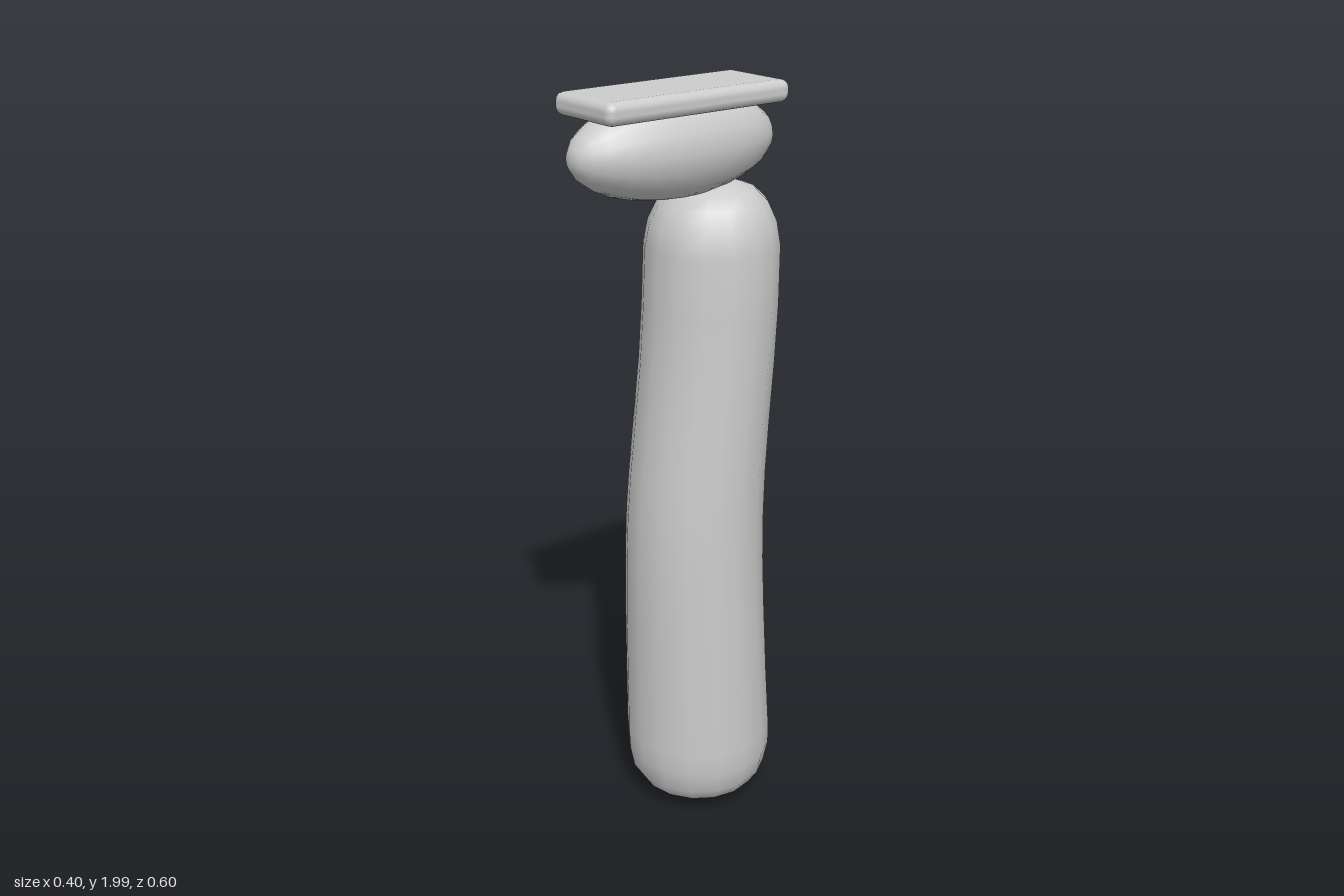
import * as THREE from 'three';
import { RoundedBoxGeometry } from 'three/addons/geometries/RoundedBoxGeometry.js';

// Closed, smooth skin over circular rings [y, radius, centre x, centre z], bottom to top
function loft(rings, sides) {
  const pos = [], idx = [];
  for (const [y, r, cx, cz] of rings) {
    for (let i = 0; i < sides; i++) {
      const a = (i / sides) * Math.PI * 2;
      pos.push(cx + r * Math.sin(a), y, cz + r * Math.cos(a));
    }
  }
  for (let j = 0; j < rings.length - 1; j++) {
    for (let i = 0; i < sides; i++) {
      const k = (i + 1) % sides;
      const a = j * sides + i, b = j * sides + k, c = a + sides, d = b + sides;
      idx.push(a, b, d, a, d, c);
    }
  }
  // end caps
  const [first, last] = [rings[0], rings[rings.length - 1]];
  const bottom = pos.length / 3, top = bottom + 1, t = (rings.length - 1) * sides;
  pos.push(first[2], first[0] - 0.004, first[3], last[2], last[0] + 0.004, last[3]);
  for (let i = 0; i < sides; i++) {
    const k = (i + 1) % sides;
    idx.push(bottom, k, i, top, t + i, t + k);
  }
  const g = new THREE.BufferGeometry();
  g.setAttribute('position', new THREE.Float32BufferAttribute(pos, 3));
  g.setIndex(idx);
  g.computeVertexNormals();
  return g;
}

export function createModel() {
  const group = new THREE.Group();
  const grey = new THREE.MeshStandardMaterial({ color: 0xcccccc });
  grey.name = 'light grey';

  const add = (name, geometry, x = 0, y = 0, z = 0) => {
    const mesh = new THREE.Mesh(geometry, grey);
    mesh.name = name;
    mesh.position.set(x, y, z);
    group.add(mesh);
    return mesh;
  };

  // Gently bent, tapering column with rounded ends
  add('column', loft([
    [0.012, 0.055, 0, -0.1],
    [0.03, 0.115, 0, -0.1],
    [0.06, 0.16, 0, -0.1],
    [0.1, 0.187, 0, -0.1],
    [0.16, 0.199, 0, -0.1],
    [0.22, 0.2, 0, -0.098],
    [0.4, 0.195, 0, -0.09],
    [0.6, 0.19, 0, -0.083],
    [0.75, 0.186, 0.001, -0.079],
    [0.88, 0.183, 0.002, -0.08],
    [1.0, 0.18, 0.003, -0.086],
    [1.15, 0.177, 0.005, -0.098],
    [1.3, 0.175, 0.007, -0.111],
    [1.45, 0.174, 0.009, -0.119],
    [1.6, 0.172, 0.01, -0.122],
    [1.66, 0.161, 0.01, -0.123],
    [1.71, 0.137, 0.01, -0.124],
    [1.74, 0.104, 0.01, -0.126],
    [1.756, 0.055, 0.01, -0.13],
  ], 16), 0, 0, 0);

  // Long oval head lying front to back
  const head = add('head', new THREE.SphereGeometry(1, 16, 14), 0.01, 1.86, 0);
  head.rotation.x = Math.PI / 2;
  head.scale.set(0.125, 0.3, 0.127);

  // Flat rounded plate on top of the head
  add('topPlate', new RoundedBoxGeometry(0.224, 0.055, 0.545, 2, 0.022), 0.011, 1.9725, -0.003);

  return group;
}
